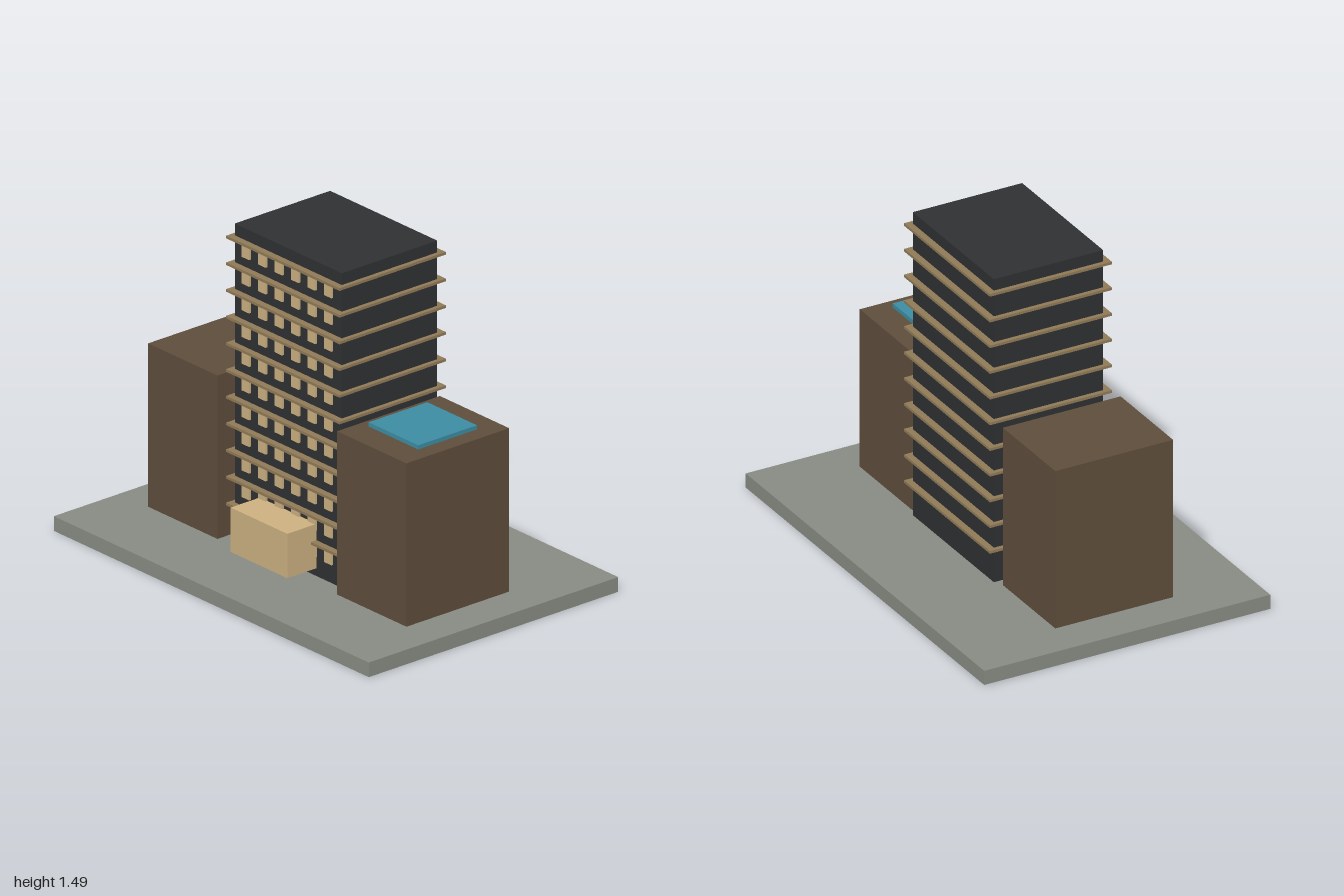
import * as THREE from 'three';

const material = (color) => new THREE.MeshStandardMaterial({ color, flatShading: true });

export function createModel() {
  const model = new THREE.Group();
  const stone = material(0x888b83);
  const charcoal = material(0x2e3032);
  const brown = material(0x5e4d3b);
  const bronze = material(0x8f7a57);
  const sand = material(0xcbb080);
  const blue = material(0x3c8ca2);

  // Box given by its lower and upper limits on each axis
  function box(name, mat, [x0, x1], [y0, y1], [z0, z1], parent = model) {
    const mesh = new THREE.Mesh(new THREE.BoxGeometry(x1 - x0, y1 - y0, z1 - z0), mat);
    mesh.position.set((x0 + x1) / 2, (y0 + y1) / 2, (z0 + z1) / 2);
    mesh.name = name;
    parent.add(mesh);
    return mesh;
  }

  // Ground slab and main tower
  const ground = 0.066;
  box('plinth', stone, [-1, 1], [0, ground], [-0.68, 0.68]);
  box('tower', charcoal, [-0.34, 0.34], [ground, 1.485], [-0.26, 0.26]);

  // Side wings
  box('rightWing', brown, [-0.82, -0.38], [ground, 0.803], [-0.24, 0.32]);
  box('leftWing', brown, [0.38, 0.82], [ground, 0.803], [-0.24, 0.32]);

  // Rooftop pool, slightly raised above the left wing
  box('pool', blue, [0.44, 0.755], [0.81, 0.829], [-0.12, 0.2]);

  // Entrance block
  box('entrance', sand, [-0.18, 0.18], [0.102, 0.302], [0.26, 0.42]);

  // Each floor: a ledge around the tower and a row of front windows below it
  const floors = 11, columns = 6;
  for (let i = 0; i < floors; i++) {
    const floor = new THREE.Group();
    floor.name = `floor${i + 1}`;
    model.add(floor);
    const y = 0.222 + i * 0.1204;
    box('ledge', bronze, [-0.36, 0.36], [y - 0.006, y + 0.006], [-0.29, 0.29], floor);
    for (let c = 0; c < columns; c++) {
      const x = (c - (columns - 1) / 2) * 0.1045;
      box('window', sand, [x - 0.024, x + 0.024], [y - 0.07, y - 0.006], [0.255, 0.27], floor);
    }
  }
  return model;
}
